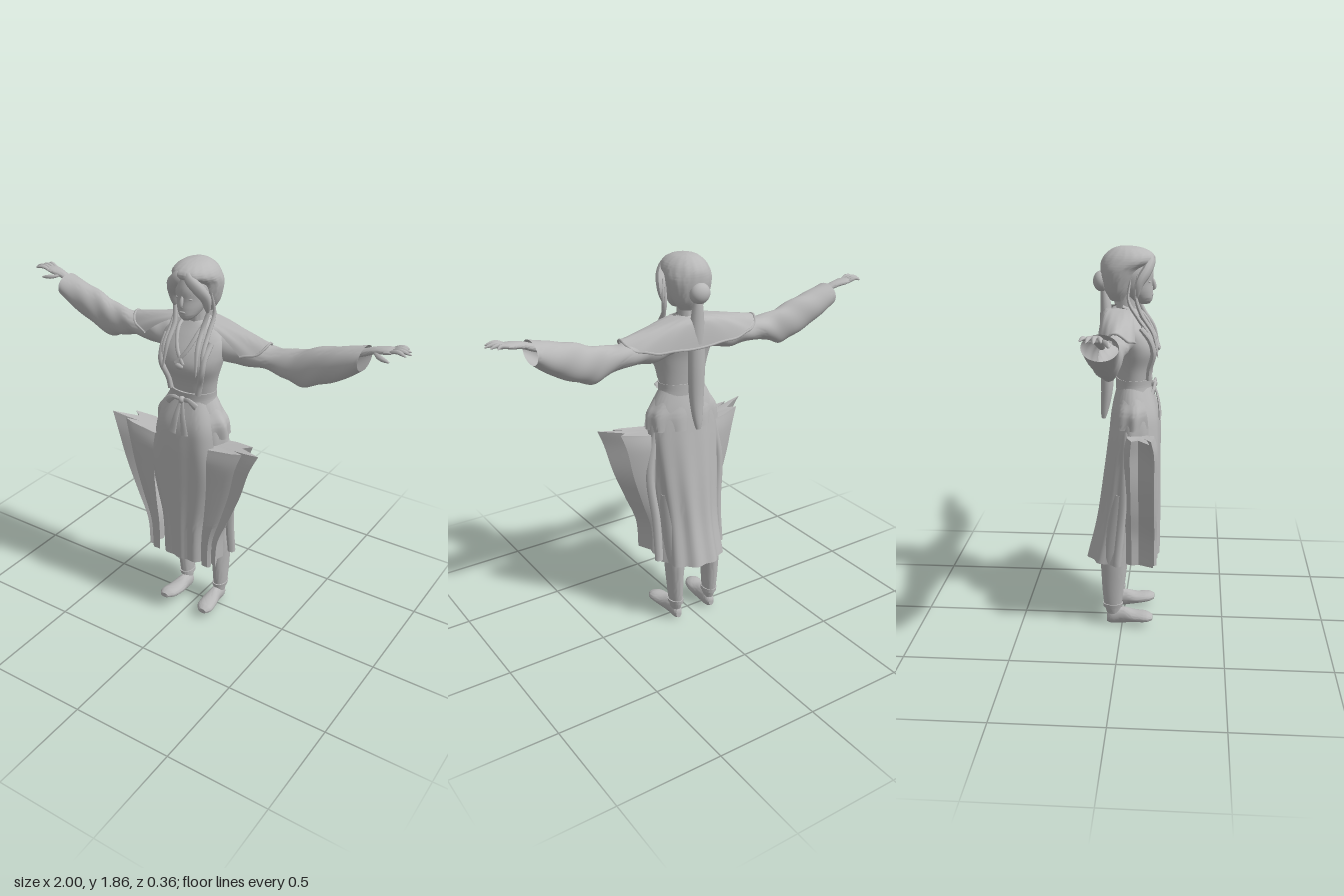
import * as THREE from 'three';
import { toCreasedNormals, mergeVertices } from 'three/addons/utils/BufferGeometryUtils.js';

const V = (x, y, z) => new THREE.Vector3(x, y, z);
const curve = (pts) => new THREE.CatmullRomCurve3(pts.map((p) => V(...p)));

// Smooth interpolation of a table of rows, f in 0..1
function sampleRows(rows, f) {
  const s = Math.min(f * (rows.length - 1), rows.length - 1.0001), i = Math.floor(s), t = s - i;
  const r = (k) => rows[Math.max(0, Math.min(rows.length - 1, k))];
  return rows[0].map((_, c) => {
    const [a, b, d, e] = [r(i - 1)[c], r(i)[c], r(i + 1)[c], r(i + 2)[c]];
    return 0.5 * (2 * b + (d - a) * t + (2 * a - 5 * b + 4 * d - e) * t * t + (3 * b - a - 3 * d + e) * t ** 3);
  });
}

// Grid surface from fn(u, v)
function sheet(fn, nu, nv, crease = 0.9, flip = false) {
  const pos = [], idx = [];
  for (let i = 0; i <= nv; i++) for (let j = 0; j <= nu; j++) pos.push(...fn(j / nu, i / nv));
  for (let i = 0; i < nv; i++) for (let j = 0; j < nu; j++) {
    const a = i * (nu + 1) + j, b = a + 1, c = a + nu + 1, d = c + 1;
    if (flip) idx.push(a, b, c, b, d, c);
    else idx.push(a, c, b, b, c, d);
  }
  const g = new THREE.BufferGeometry();
  g.setAttribute('position', new THREE.Float32BufferAttribute(pos, 3));
  g.setIndex(idx);
  return toCreasedNormals(mergeVertices(g, 1e-5), crease);
}

// Oval loft along an axis; rows are [t, a0, a1, b0, b1], t ascending
function loft(axis, rows, { fold = () => 0, open = false, n = 32, steps = 6 } = {}) {
  const nv = (rows.length - 1) * steps, cap = open ? 0 : 1, total = nv + 2 * cap;
  return sheet((u, v) => {
    const i = Math.round(v * total) - cap, f = Math.max(0, Math.min(1, i / nv));
    const [t, a0, a1, b0, b1] = sampleRows(rows, f);
    const ang = u * Math.PI * 2, k = i < 0 || i > nv ? 0 : 1 + fold(t, ang);
    const a = (a0 + a1) / 2 + (a1 - a0) / 2 * Math.cos(ang) * k;
    const b = (b0 + b1) / 2 + (b1 - b0) / 2 * Math.sin(ang) * k;
    return axis === 'y' ? [a, t, b] : axis === 'x' ? [t, a, b] : [a, b, t];
  }, n, total, 0.9, axis !== 'y');
}
// Left-right symmetric loft along y: rows are [y, halfWidth, back, front]
const body = (rows, opt) => loft('y', rows.map(([y, w, b, f]) => [y, -w, w, b, f]), opt);

// Tapered tube, squashed by flat in z
function strand(pts, radius, flat = 1, n = 24, m = 8) {
  const c = curve(pts), g = new THREE.TubeGeometry(c, n, 1, m), p = g.attributes.position, v = V(0, 0, 0);
  for (let i = 0; i <= n; i++) {
    const o = c.getPointAt(i / n), r = radius(i / n);
    for (let j = 0; j <= m; j++) {
      const k = i * (m + 1) + j;
      v.fromBufferAttribute(p, k).sub(o).multiplyScalar(r);
      p.setXYZ(k, o.x + v.x, o.y + v.y, o.z + v.z * flat);
    }
  }
  g.computeVertexNormals();
  return g;
}
const lens = (r, power = 0.6) => (t) => r * Math.pow(Math.max(0, Math.sin(Math.PI * (0.02 + 0.96 * t))), power);
const ball = (x, y, z, rx, ry, rz) => new THREE.SphereGeometry(1, 24, 16).scale(rx, ry, rz).translate(x, y, z);

// Copy on the other side, with the winding kept outward
function mirrored(geo) {
  const g = geo.index ? geo.toNonIndexed() : geo.clone();
  g.scale(-1, 1, 1);
  for (const a of Object.values(g.attributes)) {
    const s = a.itemSize, d = a.array;
    for (let i = 0; i < a.count; i += 3) for (let k = 0; k < s; k++) {
      const p = (i + 1) * s + k, q = (i + 2) * s + k, h = d[p];
      d[p] = d[q]; d[q] = h;
    }
  }
  return g;
}

export function createModel() {
  const model = new THREE.Group();
  const clay = new THREE.MeshStandardMaterial({ color: 0xb8b8b8, side: THREE.DoubleSide });
  clay.name = 'grey clay';
  const add = (name, geo) => {
    const m = new THREE.Mesh(geo, clay);
    m.name = name;
    model.add(m);
  };
  const pair = (name, geo) => { add(name + 'Left', geo); add(name + 'Right', mirrored(geo)); };

  // Legs and shoes
  pair('leg', loft('y', [[0.06, 0.075, 0.125, -0.075, -0.01], [0.12, 0.07, 0.135, -0.09, 0], [0.25, 0.065, 0.145, -0.1, 0.015],
    [0.4, 0.05, 0.155, -0.1, 0.03], [0.7, 0.03, 0.16, -0.06, 0.08]]));
  pair('trouserCuff', loft('y', [[0.095, 0.066, 0.136, -0.092, 0.002], [0.115, 0.066, 0.14, -0.094, 0.005]]));
  pair('shoe', loft('z', [[-0.075, 0.085, 0.115, 0.01, 0.05], [-0.05, 0.07, 0.125, 0, 0.085], [0, 0.065, 0.13, 0.004, 0.09],
    [0.06, 0.06, 0.145, 0.015, 0.075], [0.12, 0.07, 0.155, 0.024, 0.072], [0.152, 0.095, 0.14, 0.035, 0.06]]));

  // Skirt with soft pleats
  const pleat = (y, a) => 0.05 * Math.min(1, Math.max(0, (1.2 - y) * 1.6)) * -Math.cos(10 * (a + Math.PI / 2));
  add('skirt', body([[0.34, 0.165, -0.175, 0.14], [0.55, 0.155, -0.125, 0.145], [0.8, 0.175, -0.09, 0.15], [1.0, 0.185, -0.065, 0.155],
    [1.12, 0.165, -0.05, 0.15], [1.22, 0.115, -0.025, 0.12]], { fold: pleat, open: true, n: 80 }));
  add('hipRuffle', body([[1.03, 0.188, -0.06, 0.15], [1.1, 0.185, -0.053, 0.155], [1.15, 0.155, -0.042, 0.145], [1.2, 0.12, -0.03, 0.125]],
    { fold: (y, a) => (1.2 - y) * 0.3 * Math.sin(9 * a), open: true, n: 72 }));

  // Long front apron
  const apron = [[1.21, 0.1, 0.13], [1.1, 0.145, 0.165], [1.0, 0.165, 0.175], [0.85, 0.185, 0.178], [0.7, 0.165, 0.178],
    [0.55, 0.13, 0.178], [0.35, 0.122, 0.176]];
  add('apron', sheet((u, v) => {
    const [y, w, z] = sampleRows(apron, v), s = u * 2 - 1;
    return [s * w, y, z - 0.045 * s ** 4 + 0.005 * v * Math.cos(s * 9)];
  }, 32, 36));

  // Flared side panels with zigzag folds; rows are [y, inner, outer, depthScale]
  const flare = [[1.0, 0.14, 0.15, 0.05], [1.04, 0.15, 0.41, 0.8], [0.95, 0.15, 0.37, 1], [0.8, 0.15, 0.325, 1],
    [0.65, 0.14, 0.265, 1], [0.5, 0.125, 0.205, 1], [0.35, 0.125, 0.195, 1]];
  const zigzag = [[0, 0.17], [0.5, 0.172], [0.68, 0.16], [0.45, 0.13], [0.72, 0.145], [1, 0.155], [0.55, 0.085], [0.7, 0.05], [0.35, 0.02], [0, 0.01]];
  pair('sidePanel', sheet((u, v) => {
    const [f, z] = zigzag[Math.round(u * 9)], r = Math.round(v * 30);
    const [y, xi, xo, s] = r < 1 ? flare[0] : sampleRows(flare.slice(1), (r - 1) / 29);
    const dip = r < 1 ? 0 : 0.04 * (1 - f) * Math.max(0, y - 0.9) * 7;
    return [xi + (xo - xi) * f, y - dip, 0.09 + (z - 0.09) * s];
  }, 9, 30, 0.6));
  // Narrow trailing strip behind each side panel
  pair('sideStrip', strand([[0.16, 1.02, 0.03], [0.2, 0.8, 0.02], [0.18, 0.55, 0], [0.18, 0.35, -0.02]], () => 0.022, 0.9));

  // Torso, belt and bow
  add('bodice', body([[1.2, 0.112, -0.025, 0.12], [1.3, 0.125, -0.035, 0.14], [1.38, 0.15, -0.045, 0.165], [1.44, 0.165, -0.06, 0.15],
    [1.5, 0.165, -0.075, 0.11], [1.55, 0.11, -0.07, 0.07], [1.575, 0.055, -0.05, 0.05]]));
  add('belt', body([[1.195, 0.122, -0.034, 0.135], [1.22, 0.118, -0.034, 0.135], [1.25, 0.12, -0.034, 0.138]]));
  pair('collarEdge', strand([[0.055, 1.585, 0], [0.055, 1.54, 0.085], [0.025, 1.46, 0.14], [-0.02, 1.4, 0.163]], () => 0.01, 0.7));
  pair('vestEdge', strand([[0.12, 1.5, 0.085], [0.115, 1.44, 0.13], [0.11, 1.38, 0.145], [0.085, 1.3, 0.125], [0.075, 1.25, 0.122]], () => 0.014));
  add('chestClasp', ball(0, 1.39, 0.165, 0.022, 0.014, 0.01));
  add('bowKnot', ball(0, 1.215, 0.145, 0.016, 0.018, 0.016));
  pair('bowLoop', strand([[0.005, 1.215, 0.145], [0.04, 1.222, 0.15], [0.08, 1.195, 0.145]], (t) => 0.008 + 0.012 * t, 0.5));
  pair('bowTail', strand([[0.005, 1.21, 0.148], [0.02, 1.13, 0.168], [0.035, 1.05, 0.176]], (t) => 0.008 + 0.012 * t, 0.3));

  // Shoulder cape draped over the back, open at the front
  const capePoint = (u, v) => {
    const a = (0.11 + 0.78 * u) * Math.PI * 2, s = Math.sin(a), c = Math.cos(a);
    const side = Math.sign(s) * Math.abs(s) ** 0.75, depth = Math.sign(c) * Math.abs(c) ** 0.75;
    const x = side * (0.06 + 0.3 * v);
    const z = -0.015 + depth * (0.055 + 0.04 * Math.sqrt(v) * (c > 0 ? 1.2 : 1));
    return [x, 1.578 - 0.045 * v - 0.085 * v * v * Math.abs(c) ** 0.7 + 0.003 * v * Math.sin(u * 60), z];
  };
  add('cape', sheet(capePoint, 64, 12));
  add('capeRim', new THREE.TubeGeometry(curve(Array.from({ length: 49 }, (_, i) => capePoint(i / 48, 1))), 96, 0.006, 6));

  // Wide sleeves with wrinkles
  pair('sleeve', loft('x', [[0.1, 1.41, 1.53, -0.08, 0.07], [0.2, 1.39, 1.525, -0.085, 0.06], [0.35, 1.4, 1.505, -0.085, 0.042],
    [0.45, 1.375, 1.512, -0.075, 0.03], [0.52, 1.355, 1.53, -0.08, 0.028], [0.61, 1.385, 1.56, -0.09, 0.03],
    [0.72, 1.44, 1.588, -0.1, 0.035], [0.8, 1.5, 1.607, -0.11, 0.04]],
  { fold: (x, a) => 0.04 * Math.sin(x * 45 + 3 * a) * Math.min(1, 4 * (0.8 - x)), open: true, n: 40 }));

  // Hands
  pair('hand', loft('x', [[0.7, 1.525, 1.56, -0.055, -0.02], [0.79, 1.558, 1.594, -0.06, -0.018], [0.84, 1.58, 1.612, -0.07, -0.018],
    [0.89, 1.592, 1.62, -0.085, -0.012], [0.92, 1.6, 1.62, -0.085, -0.016]], { n: 20 }));
  for (let i = 0; i < 4; i++) {
    const z = -0.078 + i * 0.018, end = [0.965, 0.985, 0.998, 0.985][i];
    pair('finger', strand([[0.9, 1.608, z], [0.945, 1.621, z - 0.006 + i * 0.003], [end, 1.613, z - 0.018 + i * 0.01]], lens(0.0095), 1, 12));
  }
  pair('thumb', strand([[0.84, 1.595, -0.025], [0.88, 1.588, 0], [0.925, 1.582, 0.012]], lens(0.011), 1, 12));

  // Neck, face and features
  add('neck', body([[1.5, 0.055, -0.05, 0.07], [1.56, 0.042, -0.035, 0.055], [1.65, 0.042, -0.03, 0.06]]));
  add('face', body([[1.594, 0.018, 0.07, 0.12], [1.615, 0.04, 0.03, 0.134], [1.65, 0.06, -0.02, 0.136], [1.69, 0.072, -0.05, 0.134],
    [1.74, 0.076, -0.06, 0.138], [1.8, 0.06, -0.05, 0.125]]));
  add('nose', strand([[0, 1.715, 0.132], [0, 1.685, 0.141], [0, 1.665, 0.143], [0, 1.657, 0.132]], lens(0.009), 1, 12));
  add('lips', ball(0, 1.636, 0.134, 0.016, 0.006, 0.005));
  pair('eye', ball(0.03, 1.698, 0.121, 0.014, 0.005, 0.006));
  pair('brow', strand([[0.01, 1.716, 0.132], [0.032, 1.722, 0.124], [0.055, 1.714, 0.104]], lens(0.004), 1, 12));

  // Hair: cap, fringe, side locks, bun and ponytail
  add('hairCap', body([[1.61, 0.055, -0.06, 0.01], [1.655, 0.085, -0.085, 0.035], [1.71, 0.102, -0.1, 0.06], [1.755, 0.108, -0.104, 0.085],
    [1.79, 0.104, -0.1, 0.138], [1.82, 0.088, -0.08, 0.135], [1.845, 0.055, -0.045, 0.09], [1.855, 0.015, -0.01, 0.035]],
  { fold: (y, a) => 0.012 * Math.sin(16 * a + y * 20), n: 64 }));
  pair('fringe', strand([[0.005, 1.83, 0.1], [0.03, 1.795, 0.128], [0.065, 1.75, 0.11], [0.086, 1.7, 0.08], [0.088, 1.63, 0.065]], lens(0.03), 0.75));
  pair('frontLock', strand([[0.085, 1.74, 0.07], [0.09, 1.65, 0.06], [0.075, 1.56, 0.085], [0.08, 1.47, 0.14], [0.09, 1.36, 0.165]], lens(0.012), 0.8, 32));
  pair('backLock', strand([[0.09, 1.72, 0.04], [0.1, 1.62, 0.03], [0.1, 1.54, 0.075], [0.105, 1.45, 0.135], [0.105, 1.34, 0.145]], lens(0.011), 0.8, 32));
  add('bun', ball(0, 1.695, -0.1, 0.05, 0.048, 0.04));
  add('bunWrap', new THREE.TorusGeometry(0.036, 0.013, 10, 28).translate(0, 1.695, -0.092));
  add('ponytail', strand([[0, 1.69, -0.09], [0, 1.55, -0.08], [0, 1.35, -0.076], [0, 1.18, -0.078], [0, 1.04, -0.095]],
    lens(0.042, 0.45), 0.8, 40, 14));
  return model;
}
